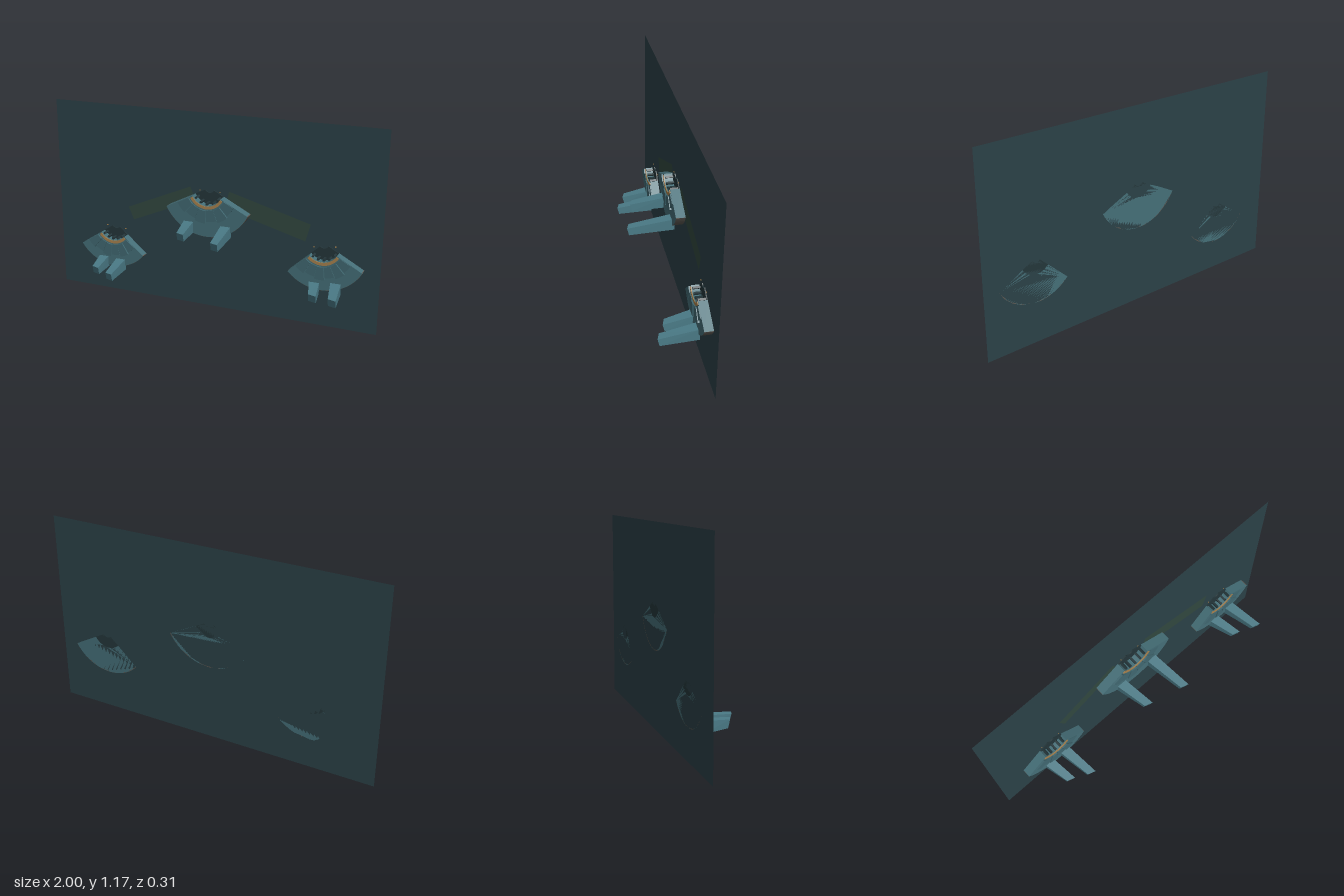
import * as THREE from 'three';

const WALL_Z = -0.155;
const mat = (color) => new THREE.MeshStandardMaterial({ color, flatShading: true, side: THREE.DoubleSide });
const wallMat = mat(0x2b4147), bandMat = mat(0x31473f), fanMat = mat(0x456f78),
  tierMat = mat(0x406871), armMat = mat(0x4a7a86), rimMat = mat(0x5a5650),
  trimMat = mat(0xa8824e), darkMat = mat(0x24363a);

function add(parent, name, geometry, material, x = 0, y = 0, z = 0) {
  const mesh = new THREE.Mesh(geometry, material);
  mesh.name = name;
  mesh.position.set(x, y, z);
  parent.add(mesh);
  return mesh;
}

// Ring sector between two radii; angles are measured from straight down
function sector(r0, r1, a0, a1, depth, segments = 16) {
  const down = -Math.PI / 2;
  const shape = new THREE.Shape();
  shape.absarc(0, 0, r1, down + a0, down + a1, false);
  shape.absarc(0, 0, r0, down + a1, down + a0, true);
  shape.closePath();
  return new THREE.ExtrudeGeometry(shape, { depth, bevelEnabled: false, curveSegments: segments });
}

// Tapered box from a base rectangle on the fan to a slanted tip rectangle
function armGeometry([bx, by], [tx, ty], tipZ) {
  const g = new THREE.BoxGeometry(1, 1, 1).toNonIndexed();
  const p = g.attributes.position;
  for (let i = 0; i < p.count; i++) {
    const u = p.getX(i), v = p.getY(i);
    if (p.getZ(i) < 0) p.setXYZ(i, bx + u * 0.06, by + v * 0.068, -0.115);
    else p.setXYZ(i, tx + u * 0.046, ty + v * 0.044, tipZ - 0.013 + u * 0.015 + v * 0.011);
  }
  g.computeVertexNormals();
  return g;
}

function createFan({ name, x, y, radius, half, turn, front }) {
  const fan = new THREE.Group();
  fan.name = name;
  fan.position.set(x, y, WALL_Z);
  fan.rotation.z = turn;
  const depth = front - WALL_Z;
  add(fan, 'fanBody', sector(0.097, radius, -half, half, depth), fanMat);

  // Dark outer rim
  add(fan, 'outerRim', sector(radius - 0.004, radius + 0.001, -half, half, depth - 0.001), rimMat);

  // Warm trim along the inner edge
  add(fan, 'innerTrim', sector(0.097, 0.114, -half * 0.95, half * 0.95, 0.004), trimMat, 0, 0, depth);

  // Raised tier of wedge plates with gaps, alternating in height
  const count = 6, step = (2 * half) / count;
  for (let i = 0; i < count; i++) {
    const a = -half + i * step;
    add(fan, 'tierPlate', sector(0.122, i % 2 ? 0.188 : 0.198, a + 0.012, a + step - 0.012,
      i % 2 ? 0.006 : 0.010, 4), tierMat, 0, 0, depth);
  }

  // Recess floor and posts inside the inner edge
  add(fan, 'recessFloor', sector(0.03, 0.097, -half, half, 0.006), darkMat);
  for (let i = -2; i <= 2; i++) {
    const a = i * half * 0.4;
    add(fan, 'recessPost', new THREE.BoxGeometry(0.012, 0.012, depth - 0.006), darkMat,
      0.086 * Math.sin(a), -0.086 * Math.cos(a), depth / 2).rotation.z = a;
  }
  for (const side of [-1, 1])
    add(fan, 'marker', new THREE.BoxGeometry(0.006, 0.006, 0.003), trimMat, side * 0.062, -0.022, 0.002);
  return fan;
}

export function createModel() {
  const model = new THREE.Group();
  model.name = 'wallWithFans';

  add(model, 'backWall', new THREE.PlaneGeometry(2, 1.17), wallMat, 0, 0.585, WALL_Z);

  // Flat bands on the wall from the middle fan towards the side fans
  const band = (name, x0, y0, x1, y1, width) => {
    const length = Math.hypot(x1 - x0, y1 - y0);
    add(model, name, new THREE.PlaneGeometry(length, width), bandMat,
      (x0 + x1) / 2, (y0 + y1) / 2, WALL_Z + 0.0008).rotation.z = Math.atan2(y1 - y0, x1 - x0);
  };
  band('leftBand', 0.1, 0.675, 0.585, 0.545, 0.107);
  band('rightBand', -0.515, 0.515, -0.11, 0.69, 0.084);

  const fans = [
    { name: 'middleFan', x: -0.004, y: 0.737, radius: 0.281, half: 1.1, turn: 0, front: -0.1 },
    { name: 'rightFan', x: -0.617, y: 0.437, radius: 0.26, half: 0.925, turn: -0.065, front: -0.105 },
    { name: 'leftFan', x: 0.681, y: 0.5, radius: 0.262, half: 0.943, turn: 0.125, front: -0.105 },
  ];
  fans.forEach((f) => model.add(createFan(f)));

  // Projecting arms: base centre, tip centre, tip depth
  const arms = [
    [[-0.118, 0.502], [-0.085, 0.505], 0.1],
    [[0.112, 0.5], [0.142, 0.497], 0.155],
    [[-0.688, 0.198], [-0.66, 0.197], 0.06],
    [[-0.573, 0.193], [-0.545, 0.192], 0.11],
    [[0.642, 0.245], [0.678, 0.248], 0.06],
    [[0.765, 0.257], [0.8, 0.262], 0.11],
  ];
  arms.forEach(([base, tip, z]) => add(model, 'arm', armGeometry(base, tip, z), armMat));
  return model;
}
